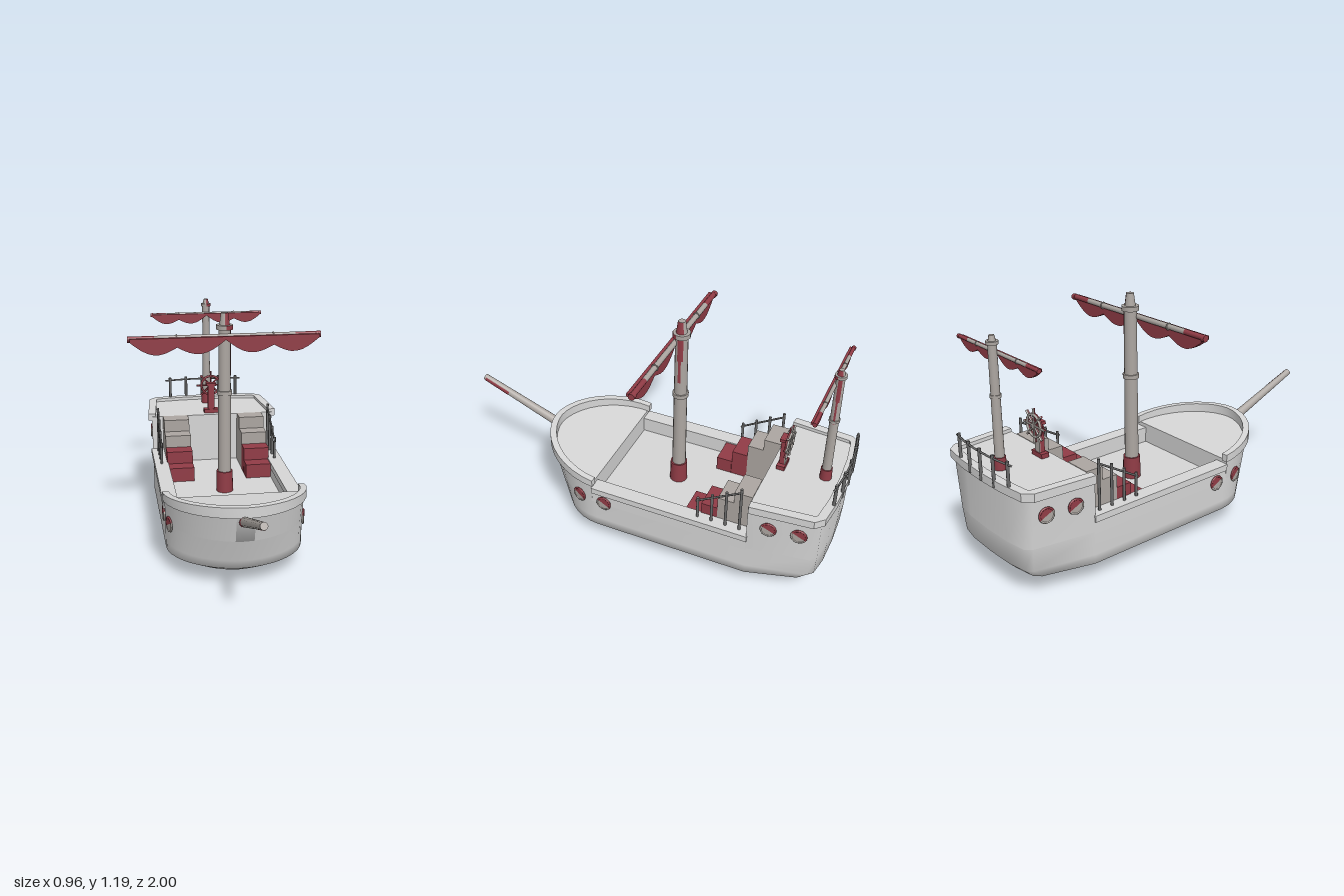
import * as THREE from 'three';
import { toCreasedNormals } from 'three/addons/utils/BufferGeometryUtils.js';

const mat = (name, color, side = THREE.FrontSide) => {
  const m = new THREE.MeshStandardMaterial({ color, side });
  m.name = name;
  return m;
};

export function createModel() {
  const ship = new THREE.Group();
  ship.name = 'sailingShip';
  const hullGrey = mat('hullGrey', 0xd6d6d6);
  const wood = mat('weatheredWood', 0xaca6a1);
  const red = mat('darkRed', 0x913c46, THREE.DoubleSide);
  const iron = mat('ironGrey', 0x6a6a6a);
  const V = (x, y, z) => new THREE.Vector3(x, y, z);

  const add = (name, geo, material, parent = ship, x = 0, y = 0, z = 0) => {
    const m = new THREE.Mesh(geo, material);
    m.name = name;
    m.position.set(x, y, z);
    parent.add(m);
    return m;
  };
  const box = (name, x0, x1, y0, y1, z0, z1, m) => add(name,
    new THREE.BoxGeometry(x1 - x0, y1 - y0, z1 - z0), m, ship, (x0 + x1) / 2, (y0 + y1) / 2, (z0 + z1) / 2);
  // Tapered round bar between two points; arc limits it to an open painted strip
  const rod = (name, a, b, ra, rb, m, parent = ship, sides = 12, arc = null) => {
    const d = b.clone().sub(a);
    const mid = a.clone().add(b).multiplyScalar(0.5);
    const geo = new THREE.CylinderGeometry(rb, ra, d.length(), sides, 1, !!arc, ...(arc || []));
    const r = add(name, geo, m, parent, mid.x, mid.y, mid.z);
    r.quaternion.setFromUnitVectors(V(0, 1, 0), d.normalize());
    return r;
  };

  // Waterline outline at one height: half width w, bow tip zb, stern zs
  const outline = ([y, w, zb, zs]) => {
    const half = [];
    for (let i = 0; i <= 10; i++) {
      const a = (i / 10) * Math.PI / 2;
      half.push(V(w * Math.sin(a) ** 1.1, y, 0.16 + (zb - 0.16) * Math.cos(a)));
    }
    // Stern corners grow rounder towards the keel
    const k = 0.68 + 0.16 * Math.min(1, y / 0.45);
    half.push(V(w, y, Math.max(-0.63, zs + 0.12)), V(w * (k + 0.08), y, zs + 0.05),
      V(w * k, y, zs + 0.022), V(w * 0.45, y, zs + 0.005), V(0, y, zs));
    return half.concat(half.slice(1, -1).reverse().map(p => V(-p.x, p.y, p.z)));
  };
  // Stack outlines into a closed body
  const loft = (rings, crease = 1.3) => {
    const n = rings[0].length, pos = [], idx = [];
    rings.forEach(r => r.forEach(p => pos.push(p.x, p.y, p.z)));
    for (let k = 0; k < rings.length - 1; k++) for (let i = 0; i < n; i++) {
      const a = k * n + i, b = k * n + (i + 1) % n;
      idx.push(a, b, b + n, a, b + n, a + n);
    }
    [0, rings.length - 1].forEach(k => {
      const c = rings[k].reduce((s, p) => s.add(p), V(0, 0, 0)).divideScalar(n);
      const ci = pos.length / 3;
      pos.push(c.x, c.y, c.z);
      for (let i = 0; i < n; i++) {
        const a = k * n + i, b = k * n + (i + 1) % n;
        if (k) idx.push(ci, a, b); else idx.push(ci, b, a);
      }
    });
    const g = new THREE.BufferGeometry();
    g.setAttribute('position', new THREE.Float32BufferAttribute(pos, 3));
    g.setIndex(idx);
    return toCreasedNormals(g, crease);
  };
  // Rectangular rail following an open path, heights given by functions of z
  const band = (name, path, outer, inner, yTop, yBottom) => {
    const pts = path.map((p, i) => {
      const t = path[Math.min(i + 1, path.length - 1)].clone().sub(path[Math.max(i - 1, 0)]).setY(0).normalize();
      const at = (o, f) => V(p.x - t.z * o, f(p.z), p.z + t.x * o);
      return [at(outer, yBottom), at(outer, yTop), at(inner, yTop), at(inner, yBottom)];
    });
    add(name, loft(pts, 0.6), hullGrey);
  };

  // Lower hull, capped by the main deck
  add('hull', loft([
    [0.005, 0.02, 0.2, -0.6], [0.012, 0.11, 0.22, -0.64], [0.04, 0.225, 0.34, -0.8],
    [0.1, 0.335, 0.45, -0.92], [0.145, 0.335, 0.465, -0.965], [0.26, 0.336, 0.505, -0.972],
  ].map(outline)), hullGrey);

  // Raised bow and stern blocks
  const foreDeckY = z => 0.362 + (z - 0.18) * 0.11;
  const bowTop = outline([0.4, 0.34, 0.545, -0.97]);
  const clampBow = r => r.map(p => V(p.x, p.y, Math.max(p.z, 0.18)));
  add('foredeck', loft([
    clampBow(outline([0.26, 0.336, 0.505, -0.972])),
    clampBow(bowTop).map(p => V(p.x, foreDeckY(p.z), p.z)),
  ]), hullGrey);
  const clampStern = r => r.map(p => V(p.x, p.y, Math.min(p.z, -0.625)));
  add('afterdeck', loft([[0.26, 0.336, 0.505, -0.972], [0.528, 0.34, 0.55, -0.976]]
    .map(l => clampStern(outline(l)))), hullGrey);

  // Rims around the raised decks
  const n = bowTop.length;
  const bowPath = [V(-0.338, 0, 0.17), ...[...bowTop.slice(n - 9), ...bowTop.slice(0, 10)]
    .filter(p => p.z > 0.19), V(0.338, 0, 0.17)];
  band('foredeckRim', bowPath, -0.02, 0.012,
    z => 0.395 + (z - 0.17) * 0.14, z => 0.358 + (z - 0.17) * 0.1);
  const sternPath = outline([0.5, 0.343, 0.55, -0.976]).slice(11, n - 10);
  band('afterdeckRim', sternPath, -0.025, 0.016, () => 0.545, () => 0.505);

  for (const s of [-1, 1]) {
    const span = (a, b) => (s > 0 ? [a, b] : [-b, -a]);
    // Bulwarks and gunwales beside the open deck
    box('bulwark', ...span(0.275, 0.336), 0.25, 0.335, -0.63, 0.185, hullGrey);
    box('gunwale', ...span(0.272, 0.346), 0.31, 0.342, -0.63, 0.18, hullGrey);

    // Stairs to the afterdeck, two red treads and two wooden ones
    for (let i = 0; i < 4; i++)
      box('stairStep', ...span(0.14, 0.278), 0.255, 0.335 + i * 0.065,
        -0.375 - i * 0.083, -0.297 - i * 0.08, i < 2 ? red : wood);

    // Sloping stair rail
    for (let i = 0; i < 4; i++) {
      const z = -0.37 - i * 0.07;
      rod('stairRailPost', V(s * 0.308, 0.335, z), V(s * 0.308, 0.46 + i * 0.043, z), 0.007, 0.007, iron, ship, 8);
    }
    rod('stairRailBar', V(s * 0.308, 0.437, -0.36), V(s * 0.308, 0.57, -0.585), 0.005, 0.005, iron, ship, 8);

    // Portholes, turned to lie along the hull side, red above and wood below
    for (const [z, y, x, turn] of [[0.256, 0.26, 0.322, -0.27], [0.115, 0.26, 0.336, 0],
      [-0.725, 0.42, 0.331, 0.11], [-0.865, 0.42, 0.315, 0.11]]) {
      const port = new THREE.Group();
      port.name = 'porthole';
      port.position.set(s * x, y, z);
      port.rotation.y = s * (Math.PI / 2 + turn);
      [[0, red], [Math.PI, wood]].forEach(([half, m]) => {
        const start = half - s * 0.5;
        add('portholeFrame', new THREE.TorusGeometry(0.034, 0.005, 8, 14, Math.PI), m, port, 0, 0, 0.004).rotation.z = start;
        add('portholePane', new THREE.CircleGeometry(0.034, 16, start, Math.PI), m, port, 0, 0, 0.007);
      });
      ship.add(port);
    }
  }

  // Stern rail along the curved transom
  const sternX = [-0.205, -0.11, -0.013, 0.084, 0.185];
  const sternZ = x => -0.99 + 0.45 * x * x;
  sternX.forEach(x => rod('sternRailPost', V(x, 0.51, sternZ(x)), V(x, 0.66, sternZ(x)), 0.008, 0.008, iron, ship, 8));
  const barCurve = new THREE.CatmullRomCurve3([-0.235, ...sternX, 0.212].map(x => V(x, 0.645, sternZ(x))));
  add('sternRailBar', new THREE.TubeGeometry(barCurve, 20, 0.005, 6), iron);

  // Bowsprit with red root and a red strip low on one side of the tip
  const b0 = V(-0.009, 0.357, 0.5), b1 = V(-0.009, 0.55, 0.992);
  const along = t => b0.clone().lerp(b1, t);
  const spritR = t => 0.025 - 0.008 * t;
  rod('bowspritRoot', along(0), along(0.13), spritR(0), spritR(0.13), red);
  rod('bowsprit', along(0.13), along(1), spritR(0.13), spritR(1), wood);
  rod('bowspritStrip', along(0.7), along(0.98), spritR(0.7) + 0.001, spritR(0.98) + 0.001, red, ship, 10, [0, 2.2]);

  // Masts with base, collars and cap
  const mast = (name, z, r, y0, baseTop, ringY, collarY, top) => {
    const g = new THREE.Group();
    g.name = name;
    g.position.z = z;
    const part = (n2, ra, rb, a, b, m, arc) => rod(n2, V(0, a, 0), V(0, b, 0), ra, rb, m, g, 16, arc);
    const capY = collarY + r * 0.7;
    part('mastPole', r * 1.08, r * 0.95, y0, collarY, wood);
    part('mastBase', r * 1.38, r * 1.3, y0, baseTop, red);
    part('mastRing', r * 1.22, r * 1.22, ringY, ringY + r * 0.65, wood);
    part('mastCollar', r * 1.3, r * 1.3, collarY, capY, wood);
    part('mastCap', r * 0.8, r * 0.55, capY, top, wood);
    // Painted strips on one side
    const side = [0, 2.3];
    part('mastCapPaint', r * 0.84, r * 0.59, capY, top, red, side);
    part('mastCollarPaint', r * 1.33, r * 1.33, collarY, capY, red, [0.1, 1.2]);
    part('mastStripe', r * 1.05, r * 1.03, collarY - 0.12, collarY, red, [1.35, 0.85]);
    part('mastStripeTail', r * 1.06, r * 1.04, collarY - 0.24, collarY - 0.12, red, [1.5, 0.4]);
    ship.add(g);
  };
  mast('mainMast', -0.143, 0.032, 0.255, 0.37, 0.778, 1.11, 1.192);
  mast('mizzenMast', -0.885, 0.021, 0.525, 0.587, 0.862, 1.098, 1.138);

  // Yard with a furled, scalloped sail hung on its front
  const yard = (name, y, z, scale) => {
    const g = new THREE.Group();
    g.name = name;
    g.position.set(0, y, z);
    g.scale.setScalar(scale);
    rod('yardSpar', V(-0.35, 0, 0), V(0.35, 0, 0), 0.013, 0.013, wood, g);
    const ties = [-0.47, -0.24, 0, 0.24, 0.47], lift = [0.012, 0.043, 0.012, 0.043, 0.012];
    const shape = new THREE.Shape().moveTo(0.47, 0.004).lineTo(-0.47, 0.004);
    for (let i = 0; i < 4; i++) for (let k = 0; k <= 8; k++) {
      const t = k / 8;
      shape.lineTo(THREE.MathUtils.lerp(ties[i], ties[i + 1], t),
        -THREE.MathUtils.lerp(lift[i], lift[i + 1], t) - 0.05 * Math.sin(Math.PI * t));
    }
    add('furledSail', new THREE.ExtrudeGeometry(shape, { depth: 0.028, bevelEnabled: false }), red, g, 0, 0, 0);
    for (const s of [-1, 1]) {
      rod('yardEnd', V(s * 0.35, 0, 0), V(s * 0.47, 0, 0), 0.013, 0.013, red, g);
      rod('yardTip', V(s * 0.46, -0.002, 0), V(s * 0.48, -0.002, 0), 0.016, 0.016, red, g);
      add('sailTie', new THREE.TorusGeometry(0.015, 0.003, 6, 14), wood, g, s * 0.24, 0, 0).rotation.y = Math.PI / 2;
    }
    ship.add(g);
  };
  yard('mainYard', 1.079, -0.117, 1);
  yard('mizzenYard', 1.058, -0.866, 0.66);

  // Steering wheel on its pedestal, red in front and wood behind
  box('wheelBase', -0.04, 0.04, 0.525, 0.55, -0.695, -0.655, red);
  box('wheelPost', -0.018, 0.018, 0.55, 0.685, -0.685, -0.662, red);
  box('wheelPostBack', -0.018, 0.018, 0.55, 0.685, -0.69, -0.685, wood);
  box('wheelHead', -0.028, 0.028, 0.685, 0.7, -0.69, -0.657, red);
  [[-0.695, red], [-0.702, wood]].forEach(([z, m]) => {
    const wheel = new THREE.Group();
    wheel.name = 'steeringWheel';
    wheel.position.set(0.002, 0.68, z);
    add('wheelRim', new THREE.TorusGeometry(0.053, 0.006, 8, 24), m, wheel);
    rod('wheelHub', V(0, 0, -0.006), V(0, 0, 0.006), 0.014, 0.014, m, wheel);
    for (let i = 0; i < 8; i++) {
      const a = (i * Math.PI) / 4;
      rod('wheelSpoke', V(0, 0, 0), V(0.08 * Math.cos(a), 0.08 * Math.sin(a), 0), 0.004, 0.005, m, wheel, 6);
    }
    ship.add(wheel);
  });
  return ship;
}
